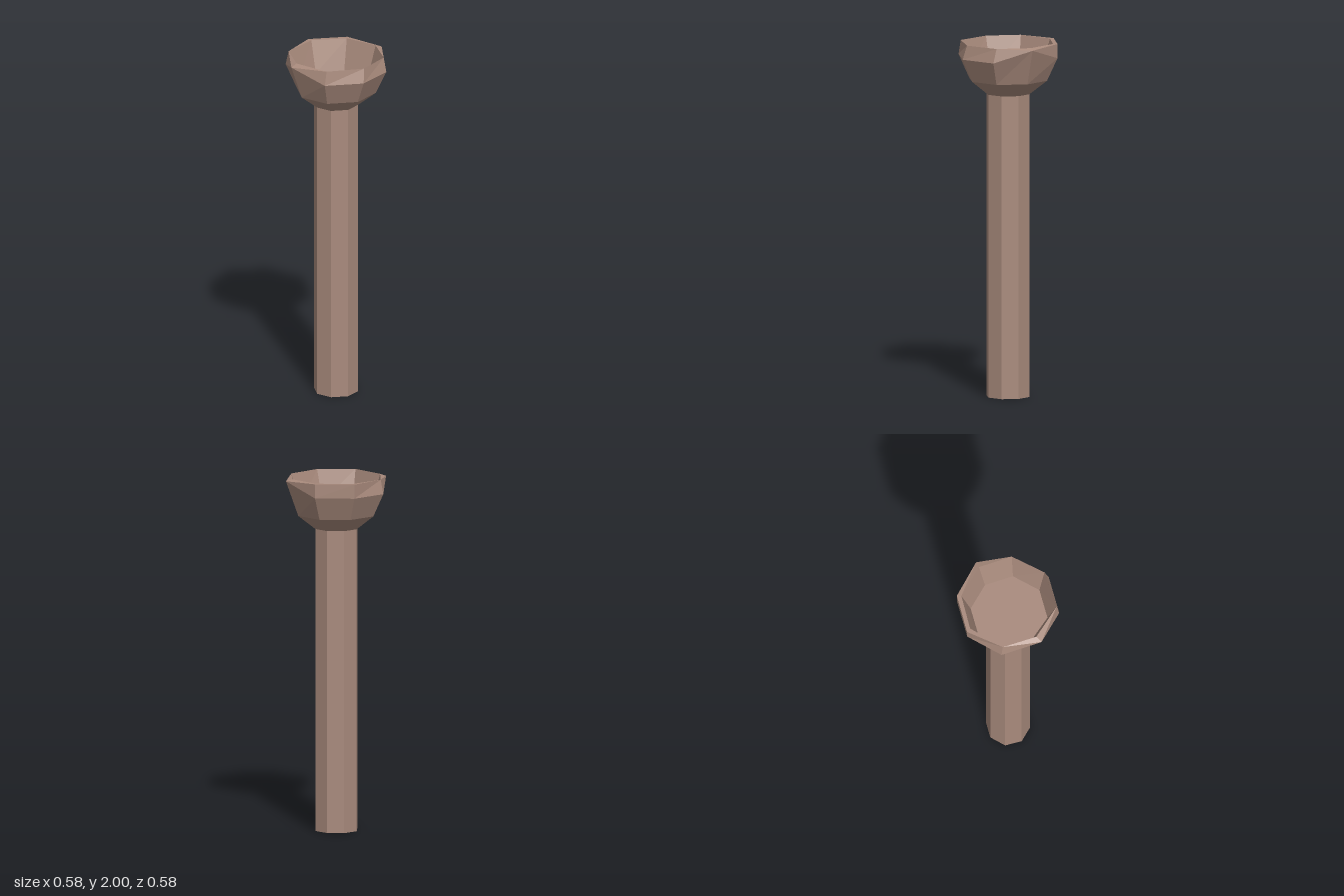
import * as THREE from 'three';

const SIDES = 8;

// Regular ring of points, starting at the front and going towards +x
function ring(radius, y) {
  return Array.from({ length: SIDES }, (_, i) => {
    const a = (i / SIDES) * Math.PI * 2;
    return [Math.sin(a) * radius, y, Math.cos(a) * radius];
  });
}

// Skin consecutive rings with flat faces, dropping collapsed triangles
function skin(rings) {
  const pos = [];
  const same = (p, q) => p.every((v, k) => Math.abs(v - q[k]) < 1e-6);
  const tri = (a, b, c) => {
    if (!same(a, b) && !same(b, c) && !same(a, c)) pos.push(...a, ...b, ...c);
  };
  for (let r = 0; r < rings.length - 1; r++) {
    for (let i = 0; i < SIDES; i++) {
      const j = (i + 1) % SIDES;
      const [lo, hi] = [rings[r], rings[r + 1]];
      tri(lo[i], lo[j], hi[j]);
      tri(lo[i], hi[j], hi[i]);
    }
  }
  const geo = new THREE.BufferGeometry();
  geo.setAttribute('position', new THREE.Float32BufferAttribute(pos, 3));
  geo.computeVertexNormals();
  return geo;
}

export function createModel() {
  const group = new THREE.Group();
  group.name = 'bowlTopPost';
  const wood = new THREE.MeshStandardMaterial({ color: 0xa88a7c });
  wood.name = 'brownWood';

  // Octagonal post
  const postGeo = new THREE.CylinderGeometry(0.125, 0.125, 1.71, SIDES).toNonIndexed();
  postGeo.computeVertexNormals();
  const post = new THREE.Mesh(postGeo, wood);
  post.name = 'post';
  post.position.y = 0.855;
  group.add(post);

  // Hand-cut rim: inner edge, with the columns in ring order
  const rim = [
    [0.007, 2, 0.273], [0.2, 2, 0.18], [0.27, 2, -0.013], [0.185, 2, -0.187],
    [0.003, 2, -0.263], [-0.183, 2, -0.19], [-0.27, 2, 0.005], [-0.185, 2, 0.183],
  ];
  // Widest line of the bowl, raised at two opposite corners
  const belly = ring(0.288, 1.92);
  belly[3] = [0.215, 1.99, -0.207];
  belly[7] = [-0.207, 1.985, 0.215];
  // Outer edge of the rim: sharp on some columns, broad at the back
  const lip = rim.map((p) => [...p]);
  lip[3] = belly[3];
  lip[4] = [0, 2, -0.288];
  lip[5] = [-0.205, 2, -0.205];
  lip[7] = belly[7];
  // Slightly irregular floor of the hollow
  const floorRadii = [0.222, 0.222, 0.22, 0.21, 0.21, 0.21, 0.217, 0.209];
  const floor = ring(1, 1.82).map(([x, y, z], i) => [x * floorRadii[i], y, z * floorRadii[i]]);

  const bowl = new THREE.Mesh(
    skin([ring(0.125, 1.71), ring(0.227, 1.79), belly, lip, rim, floor, ring(0, 1.82)]), wood);
  bowl.name = 'bowl';
  group.add(bowl);

  return group;
}
